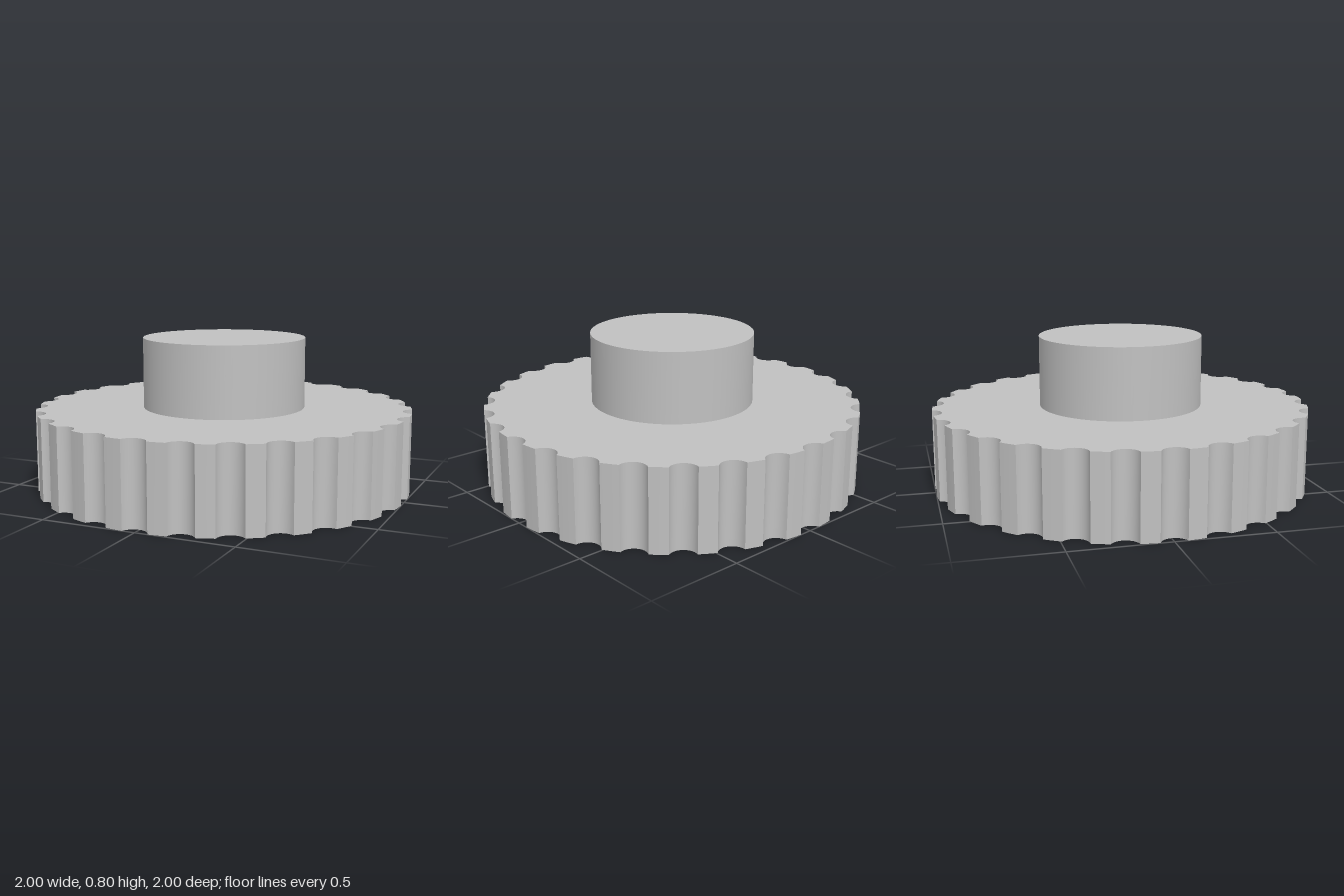
import * as THREE from 'three';
import { toCreasedNormals } from 'three/addons/utils/BufferGeometryUtils.js';

const RIM = 1.002, NOTCHES = 28, NOTCH_R = 0.07, NOTCH_C = 1.022;
const FLANGE_TOP = 0.43, BOSS_R = 0.433, BOSS_TOP = 0.803;
const BORE_R = 0.29, BORE_FLAT = 0.145, BORE_TOP = 0.6;

// Points along an arc, both ends included
function arc(cx, cy, r, from, to, n) {
  return Array.from({ length: n + 1 }, (_, i) => {
    const t = from + (to - from) * i / n;
    return new THREE.Vector2(cx + r * Math.cos(t), cy + r * Math.sin(t));
  });
}

// Rim outline: a scooped notch followed by a short land, repeated around
function knurlOutline() {
  const step = Math.PI * 2 / NOTCHES;
  const half = Math.acos((NOTCH_C ** 2 + RIM ** 2 - NOTCH_R ** 2) / (2 * NOTCH_C * RIM));
  const open = Math.atan2(RIM * Math.sin(half), NOTCH_C - RIM * Math.cos(half));
  const points = [];
  for (let i = 0; i < NOTCHES; i++) {
    const a = i * step;
    points.push(
      ...arc(NOTCH_C * Math.cos(a), NOTCH_C * Math.sin(a), NOTCH_R, a + Math.PI + open, a + Math.PI - open, 12),
      ...arc(0, 0, RIM, a + half, a + step - half, 4).slice(1, -1)
    );
  }
  return points;
}

// Upright wall following a closed outline; counter-clockwise faces outward
function wall(points, y0, y1) {
  const pos = [];
  points.forEach((p, i) => {
    const q = points[(i + 1) % points.length];
    pos.push(p.x, y0, -p.y, q.x, y0, -q.y, q.x, y1, -q.y);
    pos.push(p.x, y0, -p.y, q.x, y1, -q.y, p.x, y1, -p.y);
  });
  const g = new THREE.BufferGeometry();
  g.setAttribute('position', new THREE.Float32BufferAttribute(pos, 3));
  return toCreasedNormals(g, Math.PI / 7);
}

// Flat face at height y, facing up or down (outlines are symmetric in z)
function face(points, hole, y, up) {
  const shape = new THREE.Shape(points);
  if (hole) shape.holes.push(new THREE.Path(hole));
  return new THREE.ShapeGeometry(shape).rotateX(up ? -Math.PI / 2 : Math.PI / 2).translate(0, y, 0);
}

export function createModel() {
  const grey = new THREE.MeshStandardMaterial({ color: 0xc0c0c0 });
  grey.name = 'plain grey';
  const model = new THREE.Group();
  model.name = 'knob';

  const rim = knurlOutline();
  const boss = arc(0, 0, BOSS_R, 0, Math.PI * 2, 96).slice(0, -1);
  const flat = Math.acos(BORE_FLAT / BORE_R);
  const bore = arc(0, 0, BORE_R, flat, Math.PI * 2 - flat, 64); // D-shaped

  const part = (parent, name, geometry) => {
    const mesh = new THREE.Mesh(geometry, grey);
    mesh.name = name;
    parent.add(mesh);
  };
  const group = (name) => {
    const g = new THREE.Group();
    g.name = name;
    model.add(g);
    return g;
  };

  // Grip wheel
  const wheel = group('gripWheel');
  part(wheel, 'notchedRim', wall(rim, 0, FLANGE_TOP));
  part(wheel, 'wheelTop', face(rim, boss, FLANGE_TOP, true));
  part(wheel, 'wheelBottom', face(rim, bore, 0, false));

  // Round boss on top
  const hub = group('boss');
  part(hub, 'bossSide', wall(boss, FLANGE_TOP, BOSS_TOP));
  part(hub, 'bossTop', face(boss, null, BOSS_TOP, true));

  // Blind shaft hole from below
  const socket = group('shaftHole');
  part(socket, 'holeWall', wall([...bore].reverse(), 0, BORE_TOP));
  part(socket, 'holeEnd', face(bore, null, BORE_TOP, false));

  return model;
}
